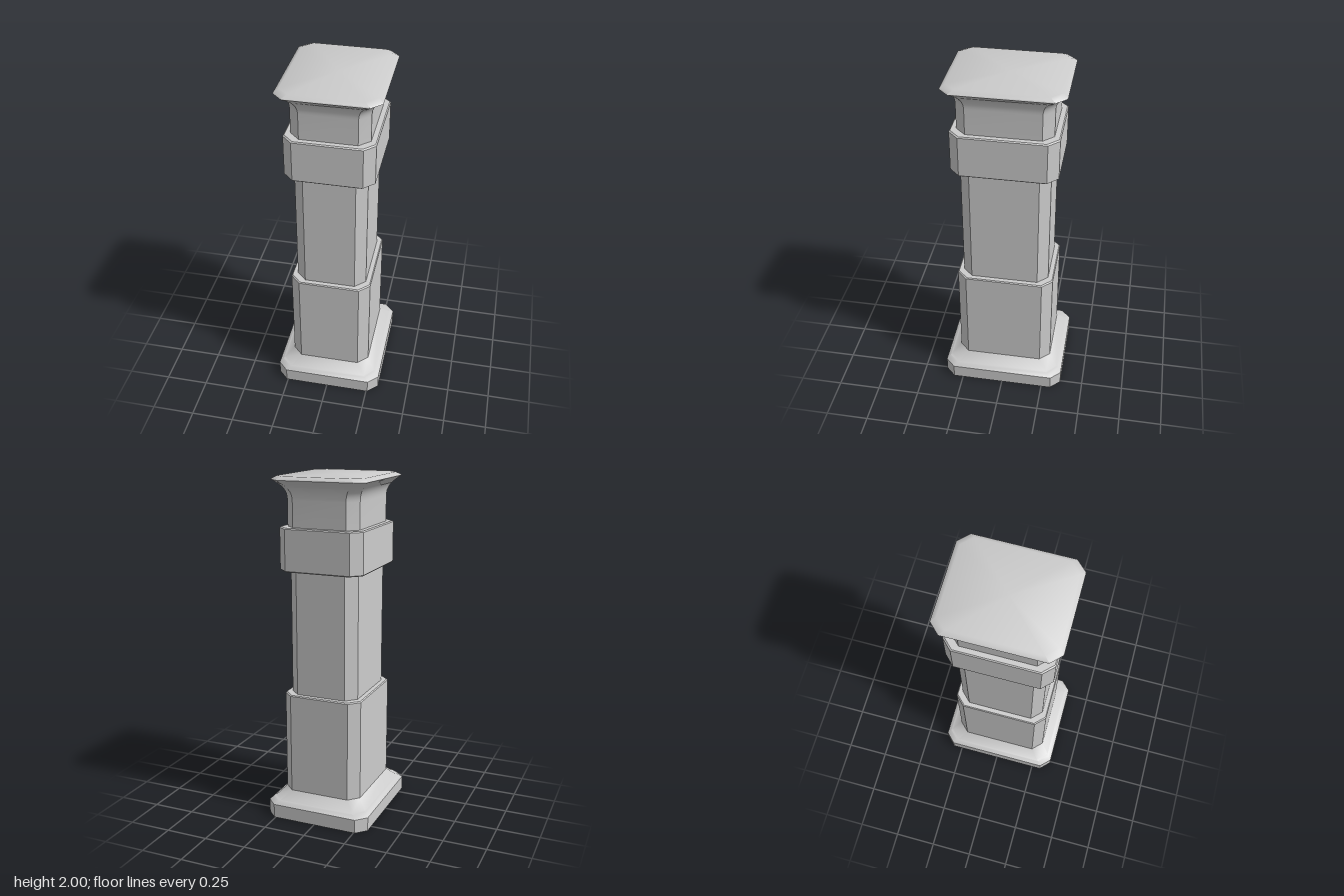
import * as THREE from 'three';
import { toCreasedNormals } from 'three/addons/utils/BufferGeometryUtils.js';

const DEPTH_EXTRA = 0.048; // the column is deeper than it is wide
const material = new THREE.MeshStandardMaterial({ color: 0xcccccc });

// Rectangle with cut corners, as eight points at height y
function ring([hx, y, c = 0.058]) {
  const hz = hx + DEPTH_EXTRA;
  return [
    [hx, hz - c], [hx - c, hz], [c - hx, hz], [-hx, hz - c],
    [-hx, c - hz], [c - hx, -hz], [hx - c, -hz], [hx, c - hz],
  ].map(([x, z]) => [x, y, z]);
}

// Closed loft through rings given bottom to top as [halfWidth, height, cornerCut]
function loft(name, profile) {
  const rings = profile.map(ring);
  const pos = [];
  const tri = (...points) => points.forEach((p) => pos.push(...p));
  const bottom = rings[0], top = rings[rings.length - 1];
  for (let i = 0; i < 8; i++) {
    const j = (i + 1) % 8;
    for (let k = 0; k < rings.length - 1; k++) {
      const lo = rings[k], hi = rings[k + 1];
      tri(lo[i], hi[i], lo[j]);
      tri(lo[j], hi[i], hi[j]);
    }
    tri([0, bottom[0][1], 0], bottom[i], bottom[j]);
    tri([0, top[0][1], 0], top[j], top[i]);
  }
  const geometry = new THREE.BufferGeometry();
  geometry.setAttribute('position', new THREE.Float32BufferAttribute(pos, 3));
  const mesh = new THREE.Mesh(toCreasedNormals(geometry, 0.6), material);
  mesh.name = name;
  return mesh;
}

export function createModel() {
  const group = new THREE.Group();
  group.name = 'column';

  // Plinth with a small bevel, a low step and a sloped shoulder
  group.add(loft('plinth', [
    [0.316, 0], [0.316, 0.082], [0.31, 0.088], [0.295, 0.102],
    [0.286, 0.104], [0.235, 0.158],
  ]));

  group.add(loft('pedestal', [[0.236, 0.155], [0.236, 0.747], [0.231, 0.753]]));
  group.add(loft('shaft', [[0.205, 0.75], [0.205, 1.48]]));

  // Collar with fine bevels at both edges
  group.add(loft('collar', [
    [0.244, 1.476], [0.25, 1.482], [0.25, 1.715], [0.244, 1.721],
  ]));

  // Neck sweeping out into the flared capital
  const flare = new THREE.CubicBezierCurve(
    new THREE.Vector2(0.216, 1.87), new THREE.Vector2(0.217, 1.92),
    new THREE.Vector2(0.237, 1.945), new THREE.Vector2(0.283, 1.98),
  ).getPoints(10).map((p) => [p.x, p.y]);
  group.add(loft('capital', [[0.216, 1.715], ...flare, [0.28, 1.986], [0.257, 2]]));

  return group;
}
